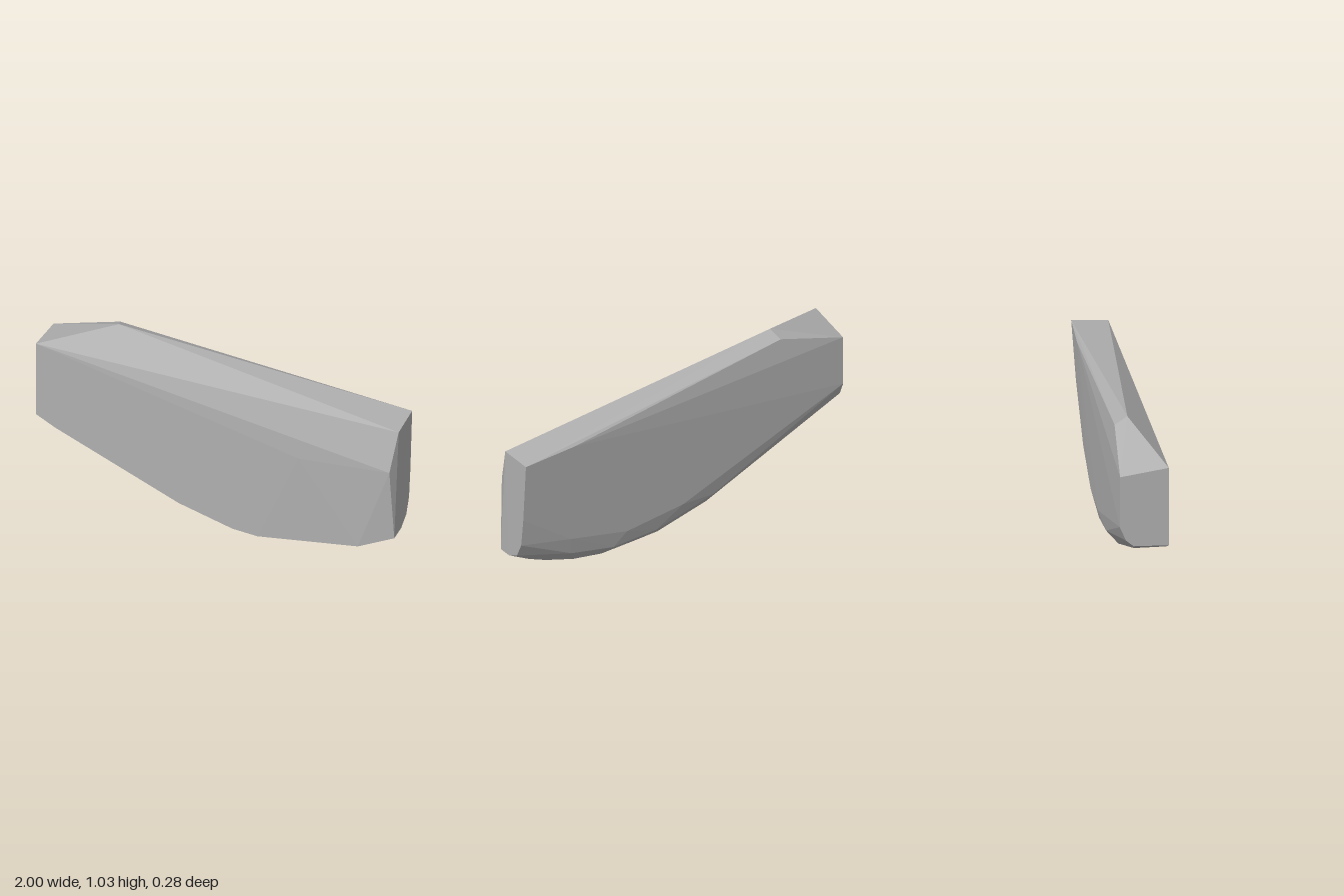
import * as THREE from 'three';
import { ConvexGeometry } from 'three/addons/geometries/ConvexGeometry.js';

export function createModel() {
  const group = new THREE.Group();
  group.name = 'stoneSlab';
  const stone = new THREE.MeshStandardMaterial({ color: 0xb0b0b0 });
  stone.name = 'grey stone';

  // Upper crest and broad faces
  const crest = [
    [-1, 0.92, 0.14], [-0.6, 1.035, -0.03], [-0.62, 1.0, -0.1],
    [1, 0.81, 0.06], [1, 0.82, -0.135], [0.7, 0.84, -0.14],
    [0.47, 0.56, 0.14], [0.975, 0.59, 0.13],
  ];
  // Rounded outline of the +x end
  const rightEnd = [
    [1, 0.47, -0.11], [1, 0.3, -0.09], [1, 0.215, -0.05],
    [1, 0.175, 0.025], [0.995, 0.165, 0.11],
  ];
  // Outline of the -x end
  const leftEnd = [
    [-1, 0.47, 0.14], [-1, 0.475, -0.045], [-1, 0.51, -0.085],
    [-1, 0.59, -0.118], [-1, 0.88, -0.116],
  ];
  // Curved keel: front edge, underside ridge and back chamfer
  const frontEdge = [
    [-0.89, 0.41, 0.14], [-0.2, 0.105, 0.14], [0.1, 0.018, 0.14],
    [0.24, 0.005, 0.14], [0.8, 0.08, 0.135],
  ];
  const ridge = [
    [-0.89, 0.41, -0.03], [-0.2, 0.1, -0.03], [0.1, 0.015, -0.02],
    [0.24, 0.002, -0.01], [0.45, 0.006, -0.02], [0.62, 0.03, -0.01],
    [0.77, 0.062, 0.02], [0.88, 0.11, 0.02],
  ];
  const backEdge = [
    [-0.2, 0.18, -0.095], [0.15, 0.085, -0.09], [0.42, 0.075, -0.09],
    [0.68, 0.13, -0.085], [0.88, 0.2, -0.07],
    [0.0, 0.2, -0.113], [0.35, 0.16, -0.111], [0.7, 0.24, -0.108],
  ];

  const points = [crest, rightEnd, leftEnd, frontEdge, ridge, backEdge]
    .flat().map(p => new THREE.Vector3(...p));
  const slab = new THREE.Mesh(new ConvexGeometry(points), stone);
  slab.name = 'slab';
  group.add(slab);
  return group;
}
